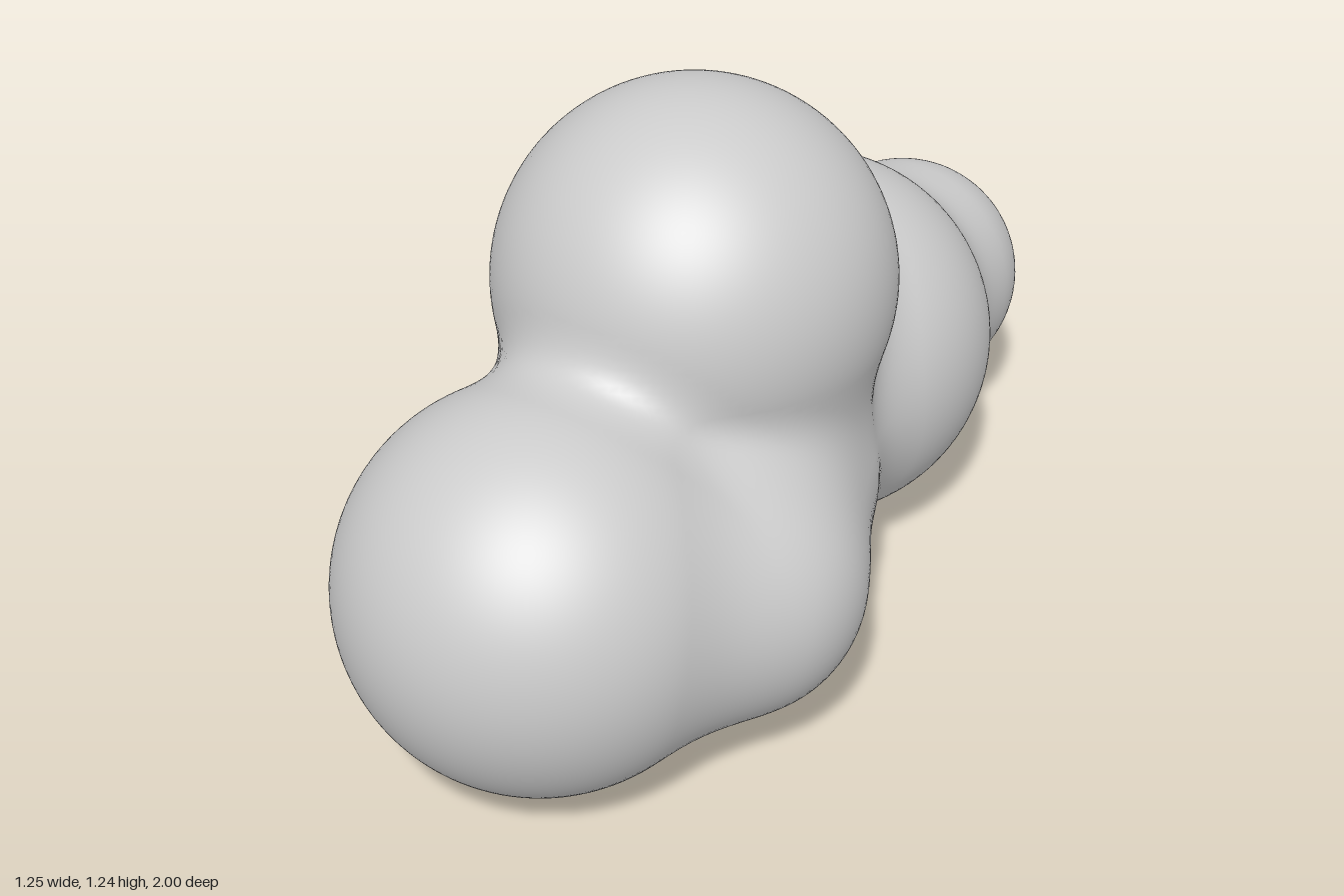
import * as THREE from 'three';

// Puffs of the cloud: centre x, y, z and radius
const PUFFS = [
  [-0.225, 0.42, 0.6, 0.4],    // front
  [0, 0.838, 0.12, 0.4],       // top
  [-0.02, 0.402, 0.15, 0.4],   // bottom centre
  [0.18, 0.44, -0.35, 0.4],    // back
  [0.365, 0.385, -0.74, 0.26], // tail
  [0.11, 0.37, 0.46, 0.275],   // small side puff
];
const BLEND = 0.12;
const STEP = 0.02;
const MIN = [-0.71, -0.07, -1.07];
const COUNT = [72, 70, 108];

// Signed distance to the puffs, joined with a soft fillet
function distance(x, y, z) {
  let d = Infinity;
  for (const [cx, cy, cz, r] of PUFFS) {
    const s = Math.hypot(x - cx, y - cy, z - cz) - r;
    const h = Math.max(BLEND - Math.abs(d - s), 0) / BLEND;
    d = Math.min(d, s) - h * h * BLEND / 4;
  }
  return d;
}

function gradient(x, y, z, e = 0.002) {
  return new THREE.Vector3(
    distance(x + e, y, z) - distance(x - e, y, z),
    distance(x, y + e, z) - distance(x, y - e, z),
    distance(x, y, z + e) - distance(x, y, z - e)
  ).normalize();
}

// Surface net: one vertex per grid cell crossed by the surface, one quad per crossed edge
function blendedSurface() {
  const [nx, ny, nz] = COUNT;
  const stride = [1, nx, nx * ny];
  const field = new Float32Array(nx * ny * nz);
  for (let k = 0, n = 0; k < nz; k++)
    for (let j = 0; j < ny; j++)
      for (let i = 0; i < nx; i++)
        field[n++] = distance(MIN[0] + i * STEP, MIN[1] + j * STEP, MIN[2] + k * STEP);

  const positions = [], normals = [], indices = [];
  const cells = new Map();

  // Vertex of a cell, pulled from the cell's middle onto the surface
  function vertex(cell) {
    if (cells.has(cell)) return cells.get(cell);
    const i = cell % nx, j = Math.floor(cell / nx) % ny, k = Math.floor(cell / stride[2]);
    const p = new THREE.Vector3(i + 0.5, j + 0.5, k + 0.5).multiplyScalar(STEP);
    p.add(new THREE.Vector3(...MIN));
    for (let pass = 0; pass < 3; pass++)
      p.addScaledVector(gradient(p.x, p.y, p.z), -distance(p.x, p.y, p.z));
    const index = positions.length / 3;
    positions.push(p.x, p.y, p.z);
    normals.push(...gradient(p.x, p.y, p.z).toArray());
    cells.set(cell, index);
    return index;
  }

  for (let k = 1; k < nz - 1; k++)
    for (let j = 1; j < ny - 1; j++)
      for (let i = 1; i < nx - 1; i++) {
        const n = i + j * stride[1] + k * stride[2];
        for (let axis = 0; axis < 3; axis++) {
          const inside = field[n] < 0;
          if (inside === field[n + stride[axis]] < 0) continue;
          const b = stride[(axis + 1) % 3], c = stride[(axis + 2) % 3];
          const q = [n - b - c, n - c, n, n - b].map(vertex);
          if (!inside) q.reverse();
          indices.push(q[0], q[1], q[2], q[0], q[2], q[3]);
        }
      }

  const geometry = new THREE.BufferGeometry();
  geometry.setAttribute('position', new THREE.Float32BufferAttribute(positions, 3));
  geometry.setAttribute('normal', new THREE.Float32BufferAttribute(normals, 3));
  geometry.setIndex(indices);
  return geometry;
}

export function createModel() {
  const group = new THREE.Group();
  group.name = 'cloud';
  const puffs = new THREE.Mesh(blendedSurface(), new THREE.MeshStandardMaterial({ color: 0xcccccc }));
  puffs.name = 'cloudPuffs';
  group.add(puffs);
  return group;
}
